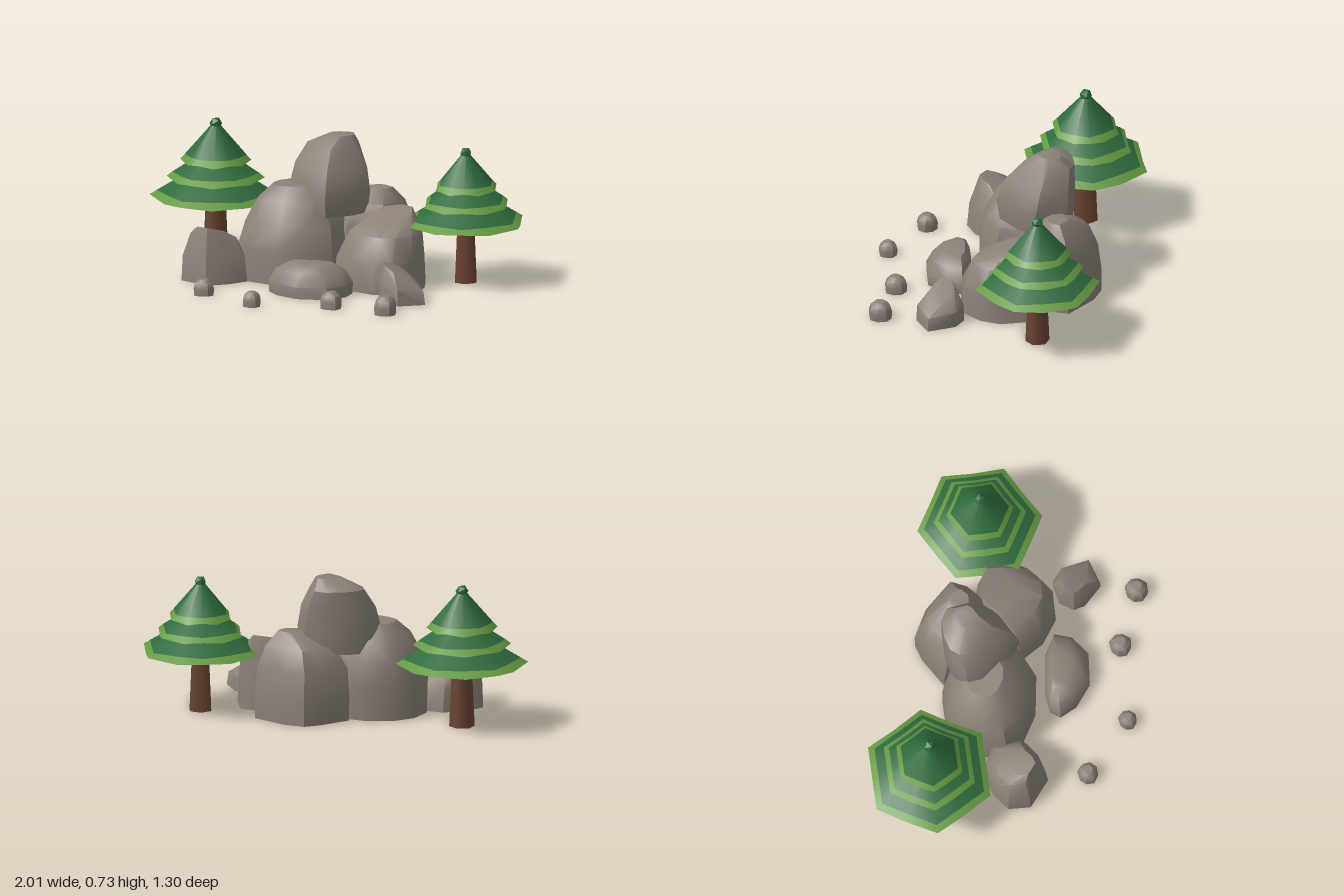
import * as THREE from 'three';
import { toCreasedNormals } from 'three/addons/utils/BufferGeometryUtils.js';
import { ConvexGeometry } from 'three/addons/geometries/ConvexGeometry.js';

const mat = (name, color) => {
  const m = new THREE.MeshStandardMaterial({ color, side: THREE.DoubleSide });
  m.name = name;
  return m;
};

// Removes the downward faces lying on the ground, leaving the shell open below
function openBottom(geo) {
  const p = geo.getAttribute('position'), keep = [];
  for (let i = 0; i < p.count; i += 3) {
    if (Math.max(p.getY(i), p.getY(i + 1), p.getY(i + 2)) < 0.001) continue;
    for (let k = i; k < i + 3; k++) keep.push(p.getX(k), p.getY(k), p.getZ(k));
  }
  const out = new THREE.BufferGeometry();
  out.setAttribute('position', new THREE.Float32BufferAttribute(keep, 3));
  return out;
}

// Rock: plan outline [x, z] repeated at rings [y, scale, shiftX, shiftZ, tiltX, tiltZ]
function rock(name, material, outline, rings) {
  const cx = outline.reduce((s, q) => s + q[0], 0) / outline.length;
  const cz = outline.reduce((s, q) => s + q[1], 0) / outline.length;
  const pts = [];
  for (const [y, s, dx = 0, dz = 0, tx = 0, tz = 0] of rings)
    for (const [x, z] of outline) {
      const u = (x - cx) * s, v = (z - cz) * s;
      pts.push(new THREE.Vector3(cx + u + dx, y + u * tx + v * tz, cz + v + dz));
    }
  const mesh = new THREE.Mesh(toCreasedNormals(openBottom(new ConvexGeometry(pts)), 0.7), material);
  mesh.name = name;
  return mesh;
}

// Six-cornered skirt whose edges sag midway between the corners
function skirt(name, material, r0, y0, r1, y1, drop0, drop1) {
  const geo = new THREE.CylinderGeometry(r0, r1, y0 - y1, 12, 1, true);
  const p = geo.getAttribute('position');
  for (let i = 0; i < p.count; i++) {
    if (i % 13 % 2 === 0) continue;
    const k = Math.cos(Math.PI / 6);
    p.setXYZ(i, p.getX(i) * k, p.getY(i) - (i < 13 ? drop0 : drop1), p.getZ(i) * k);
  }
  geo.translate(0, (y0 + y1) / 2, 0);
  const mesh = new THREE.Mesh(geo, material);
  mesh.name = name;
  return mesh;
}

function tree(name, m, x, z, size, turn) {
  const g = new THREE.Group();
  g.name = name;
  const trunk = new THREE.Mesh(new THREE.CylinderGeometry(0.046, 0.065, 0.42, 6), m.bark);
  trunk.name = 'trunk';
  trunk.position.y = 0.21;
  g.add(trunk);
  // Tiers: top radius, top height, band radius, band height, rim radius, rim height, lip radius
  const tiers = [
    [0.15, 0.445, 0.301, 0.353, 0.337, 0.33, 0.28],
    [0.1, 0.53, 0.222, 0.45, 0.25, 0.428, 0.2],
    [0.018, 0.705, 0.158, 0.543, 0.182, 0.518, 0.145],
  ];
  for (const [r0, y0, r1, y1, r2, y2, r3] of tiers) {
    g.add(skirt('needles', m.dark, r0, y0, r1, y1, 0, 0.004));
    g.add(skirt('needleRim', m.light, r1, y1, r2, y2, 0.004, 0.018));
    // Underside of the rim
    g.add(skirt('needleLip', m.light, r2, y2, r3, y2 + 0.004, 0.018, 0.012));
  }
  const tip = new THREE.Mesh(new THREE.IcosahedronGeometry(0.033, 0), m.dark);
  tip.name = 'treeTip';
  tip.position.y = 0.706;
  g.add(tip);
  g.position.set(x, 0, z);
  g.rotation.y = THREE.MathUtils.degToRad(turn);
  g.scale.setScalar(size);
  return g;
}

export function createModel() {
  const model = new THREE.Group();
  model.name = 'rocksAndTrees';
  const stone = mat('stone', 0x8b8178);
  const m = {
    bark: mat('bark', 0x6b4431),
    dark: mat('darkGreen', 0x2f6b3d),
    light: mat('lightGreen', 0x659a43),
  };

  model.add(tree('rightTree', m, -0.682, -0.32, 1, 48));
  model.add(tree('leftTree', m, 0.69, -0.315, 0.95, 18));

  // Large boulders
  model.add(rock('mainBoulder', stone,
    [[-0.44, -0.09], [-0.41, -0.22], [-0.33, -0.3], [-0.19, -0.345], [-0.02, -0.31], [0.1, -0.2],
      [0.09, 0.01], [-0.02, 0.11], [-0.17, 0.135], [-0.33, 0.1], [-0.42, 0.03]],
    [[0, 0.99], [0.17, 1], [0.3, 0.9, 0.01, -0.01], [0.41, 0.68, 0.01, -0.02], [0.48, 0.4, 0.01, -0.03, 0.03]]));
  model.add(rock('topBoulder', stone,
    [[-0.23, -0.2], [-0.2, -0.28], [-0.1, -0.35], [0.03, -0.39], [0.13, -0.37], [0.205, -0.22],
      [0.17, -0.12], [0.05, 0.01], [-0.03, -0.02], [-0.2, -0.13]],
    [[0.34, 0.93], [0.45, 1], [0.57, 0.89, 0, -0.02], [0.67, 0.65, 0, -0.06], [0.725, 0.31, 0.045, -0.06]]));
  model.add(rock('backBoulder', stone,
    [[-0.1, -0.35], [0.02, -0.49], [0.09, -0.54], [0.2, -0.52], [0.38, -0.42], [0.37, -0.33],
      [0.3, -0.2], [0.1, -0.15], [-0.02, -0.22]],
    [[0, 0.99], [0.12, 1], [0.27, 0.95, 0, 0.01], [0.38, 0.73, 0.01, 0.01], [0.45, 0.28, 0.06, 0.02]]));
  model.add(rock('sideBoulder', stone,
    [[0.1, 0], [0.22, 0.1], [0.36, 0.14], [0.46, 0.11], [0.53, 0.01], [0.55, -0.1],
      [0.5, -0.24], [0.36, -0.28], [0.2, -0.24], [0.12, -0.14]],
    [[0, 1], [0.15, 0.97], [0.28, 0.8, 0.015, -0.03], [0.355, 0.5, 0.01, -0.08, 0.07, -0.3]]));

  // Smaller rocks in front
  model.add(rock('rightRock', stone,
    [[-0.69, 0.09], [-0.66, 0.2], [-0.5, 0.26], [-0.41, 0.2], [-0.34, 0.1], [-0.4, -0.05],
      [-0.52, -0.07], [-0.63, 0]],
    [[0, 1], [0.13, 0.94, -0.005], [0.225, 0.68, -0.01, 0, -0.04, 0.2], [0.265, 0.4, -0.01, 0.04, -0.06, 0.3]]));
  model.add(rock('frontRock', stone,
    [[-0.16, 0.26], [-0.14, 0.2], [-0.05, 0.16], [0.14, 0.125], [0.26, 0.15], [0.26, 0.24],
      [0.19, 0.34], [0.04, 0.375], [-0.09, 0.33]],
    [[0, 0.98], [0.06, 1], [0.125, 0.82, 0, -0.01], [0.162, 0.5, 0, -0.02]]));
  model.add(rock('leftRock', stone,
    [[0.43, 0.22], [0.45, 0.14], [0.54, 0.09], [0.62, 0.12], [0.695, 0.25], [0.58, 0.33], [0.46, 0.27]],
    [[0, 1], [0.09, 0.97, -0.005, 0, -0.15], [0.165, 0.52, -0.03, 0, -0.45]]));

  // Pebbles: x, z, radius, height
  [[-0.435, 0.455, 0.056, 0.082], [-0.113, 0.6, 0.05, 0.076], [0.277, 0.49, 0.06, 0.085], [0.584, 0.515, 0.062, 0.094]]
    .forEach(([x, z, r, h], i) => {
      const outline = [];
      for (let k = 0; k < 8; k++) {
        const a = (k / 8) * Math.PI * 2 + i * 0.8, q = r * (1 - 0.04 * ((k + i) % 3));
        outline.push([x + Math.cos(a) * q, z + Math.sin(a) * q]);
      }
      model.add(rock('pebble', stone, outline, [[0, 0.95], [h * 0.45, 1], [h * 0.78, 0.85], [h, 0.45]]));
    });
  return model;
}
